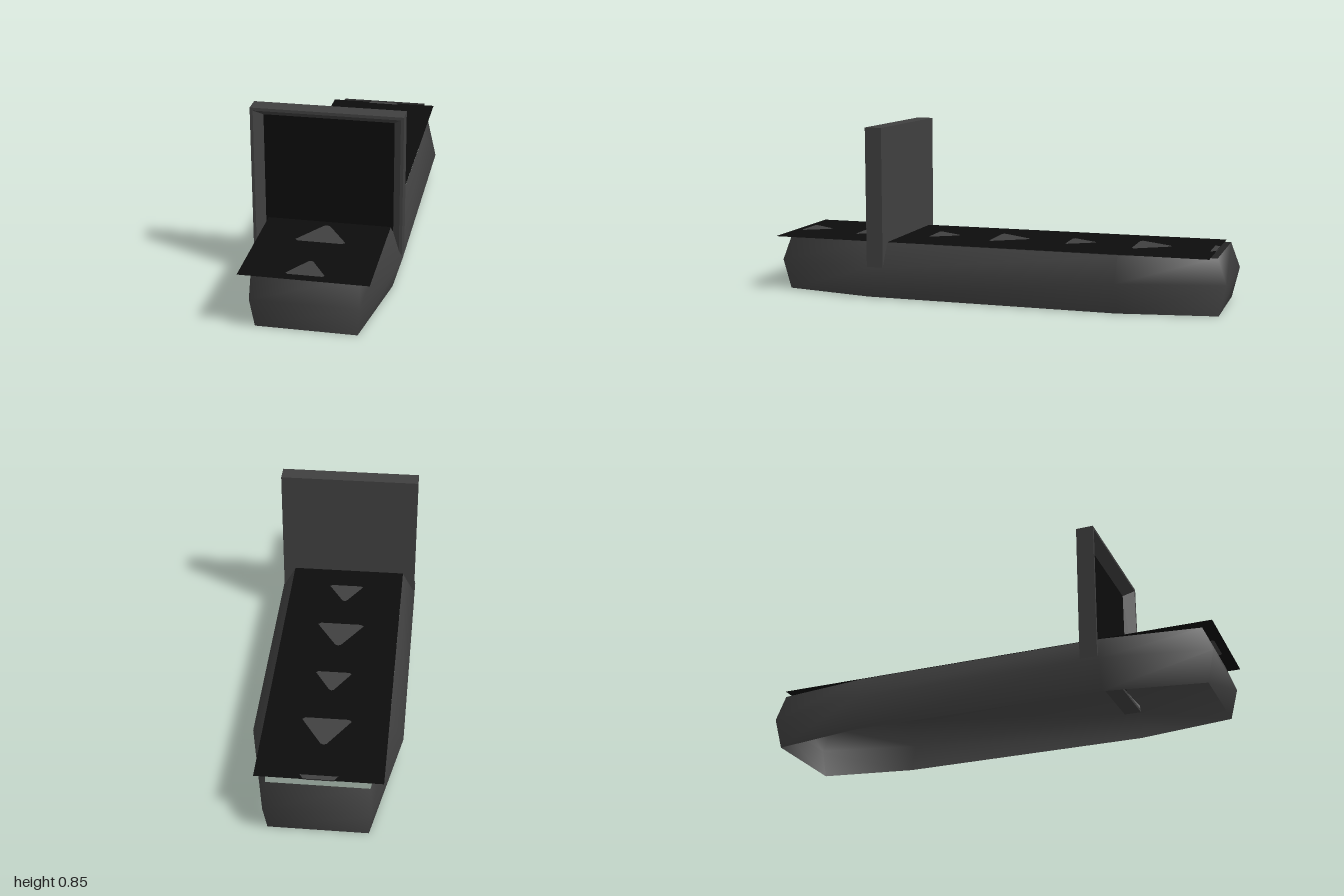
import * as THREE from 'three';
import { toCreasedNormals } from 'three/addons/utils/BufferGeometryUtils.js';

const grey = new THREE.MeshStandardMaterial({ color: 0x404040, side: THREE.DoubleSide });
grey.name = 'dark grey';
const black = new THREE.MeshStandardMaterial({ color: 0x0c0c0c, side: THREE.DoubleSide });
black.name = 'belt black';

// Skin a stack of closed loops that all have the same number of points
function loft(rows) {
  const n = rows[0].length, index = [];
  for (let r = 0; r < rows.length - 1; r++) {
    for (let i = 0; i < n; i++) {
      const a = r * n + i, b = r * n + (i + 1) % n;
      index.push(a, b, b + n, a, b + n, a + n);
    }
  }
  const g = new THREE.BufferGeometry();
  g.setAttribute('position', new THREE.Float32BufferAttribute(rows.flat(2), 3));
  g.setIndex(index);
  g.computeVertexNormals();
  return g;
}

// Eight-sided outline: plateau half width, end half width, half length
function hullLoop(y, wide, narrow, half) {
  const c = 0.037, p = 0.63;
  return [[half, narrow], [half, -narrow], [p, -wide], [-p, -wide],
    [-half, -narrow], [-half, narrow], [-p, wide], [p, wide]].map(([x, z]) => [x + c, y, z]);
}

// Rectangle of the upright frame at a given depth and inset
function frameLoop(x, inset) {
  const w = 0.355 - inset, lo = 0.155 + inset, hi = 0.85 - inset;
  return [[x, lo, -w], [x, lo, w], [x, hi, w], [x, hi, -w]];
}

// Flat arrow pointing along +x with clipped corners, cut off at the belt end
function arrowGeometry(length, half, limit) {
  const s = new THREE.Shape();
  if (limit < length) {
    const h = half * (1 - limit / length);
    s.moveTo(0, -half); s.lineTo(limit, -h); s.lineTo(limit, h); s.lineTo(0, half);
  } else {
    s.moveTo(0, -half * 0.88);
    s.lineTo(length * 0.07, -half);
    s.lineTo(length * 0.96, -half * 0.13);
    s.lineTo(length, 0);
    s.lineTo(length * 0.96, half * 0.13);
    s.lineTo(length * 0.07, half);
    s.lineTo(0, half * 0.88);
  }
  return new THREE.ShapeGeometry(s).rotateX(-Math.PI / 2);
}

export function createModel() {
  const model = new THREE.Group();
  model.name = 'conveyor';
  const body = new THREE.Group();
  body.name = 'conveyorBody';
  body.rotation.y = Math.PI / 4;
  model.add(body);

  const add = (name, geometry, material, x = 0, y = 0, z = 0) => {
    const m = new THREE.Mesh(geometry, material);
    m.name = name;
    m.position.set(x, y, z);
    body.add(m);
    return m;
  };

  // Open skirt around the belt, bulging at mid height
  add('skirt', loft([
    hullLoop(0, 0.315, 0.232, 1.1),
    hullLoop(0.15, 0.36, 0.246, 1.135),
    hullLoop(0.275, 0.293, 0.235, 1.09),
  ]), grey);

  // Belt
  const start = -1.113, end = 1.096, beltY = 0.277;
  add('belt', new THREE.PlaneGeometry(end - start, 0.586).rotateX(-Math.PI / 2),
    black, (start + end) / 2, beltY);

  // Direction arrows on both faces of the belt, alternating small and large
  for (let i = 0; i < 7; i++) {
    const small = i % 2 === 0;
    const x = small ? -1.072 + i * 0.357 : -0.75 + (i - 1) * 0.361;
    const g = small ? arrowGeometry(0.137, 0.087, end - x) : arrowGeometry(0.177, 0.117, end - x);
    add('arrowTop', g, grey, x, beltY + 0.003);
    add('arrowUnder', g, grey, x, beltY - 0.003);
  }

  // Upright frame: closed back, side walls, narrow rim and bevelled recess
  const back = -0.5, front = -0.585, recess = -0.53;
  const centre = Array.from({ length: 4 }, () => [back, 0.5, 0]);
  add('uprightFrame', toCreasedNormals(loft([
    centre,
    frameLoop(back, 0),
    frameLoop(front, 0),
    frameLoop(front, 0.014),
    frameLoop(recess, 0.05),
  ]), 0.3), grey);

  // Dark panel inside the frame
  const panel = add('framePanel', new THREE.PlaneGeometry(0.61, 0.595), black, recess, 0.5025, 0);
  panel.rotation.y = -Math.PI / 2;

  return model;
}
